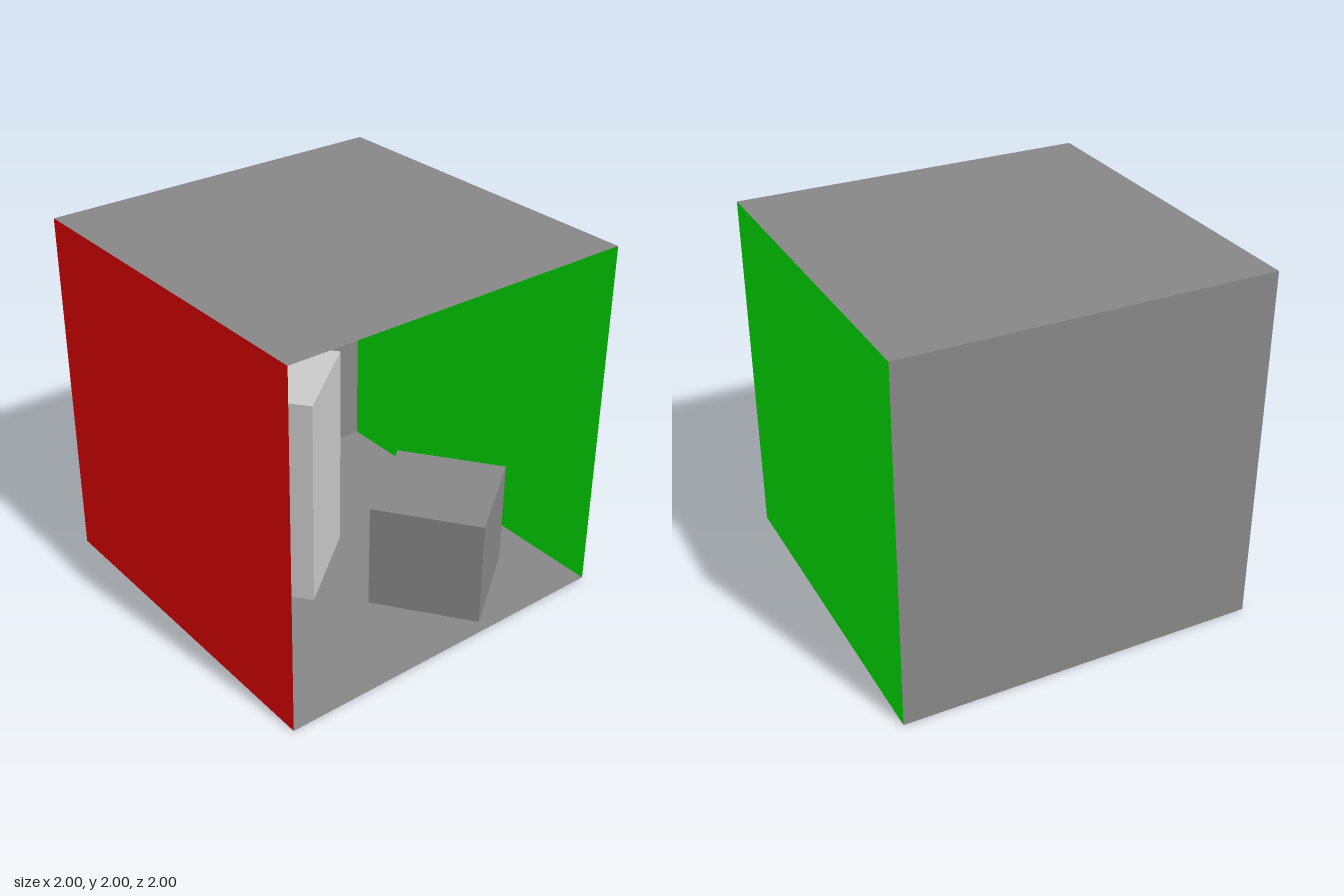
import * as THREE from 'three';

function material(color) {
  return new THREE.MeshStandardMaterial({ color, side: THREE.DoubleSide });
}

export function createModel() {
  const room = new THREE.Group();
  room.name = 'openRoom';

  const lightGrey = material(0xcccccc);
  const midGrey = material(0x888888);
  const red = material(0xff0000);
  const green = material(0x00ff00);

  // Paper-thin shell, open at the front; every panel faces inwards
  const panel = new THREE.PlaneGeometry(2, 2);
  const addPanel = (name, mat, position, rotation) => {
    const mesh = new THREE.Mesh(panel, mat);
    mesh.name = name;
    mesh.position.set(...position);
    mesh.rotation.set(...rotation);
    room.add(mesh);
  };
  const q = Math.PI / 2;
  addPanel('floor', midGrey, [0, 0, 0], [-q, 0, 0]);
  addPanel('ceiling', midGrey, [0, 2, 0], [q, 0, 0]);
  addPanel('backWall', midGrey, [0, 1, -1], [0, 0, 0]);
  addPanel('rightWall', red, [-1, 1, 0], [0, q, 0]);
  addPanel('leftWall', green, [1, 1, 0], [0, -q, 0]);

  // Square blocks turned on the floor, with a hairline gap beneath
  const side = 0.607;
  const gap = 0.014;
  const addBlock = (name, mat, height, x, z, degrees) => {
    const mesh = new THREE.Mesh(new THREE.BoxGeometry(side, height, side), mat);
    mesh.name = name;
    mesh.position.set(x, gap + height / 2, z);
    mesh.rotation.y = THREE.MathUtils.degToRad(degrees);
    room.add(mesh);
  };
  addBlock('tallBlock', lightGrey, 2 * side, -0.264, -0.165, 38.3);
  addBlock('shortBlock', midGrey, side, 0.331, 0.525, 36);

  return room;
}
